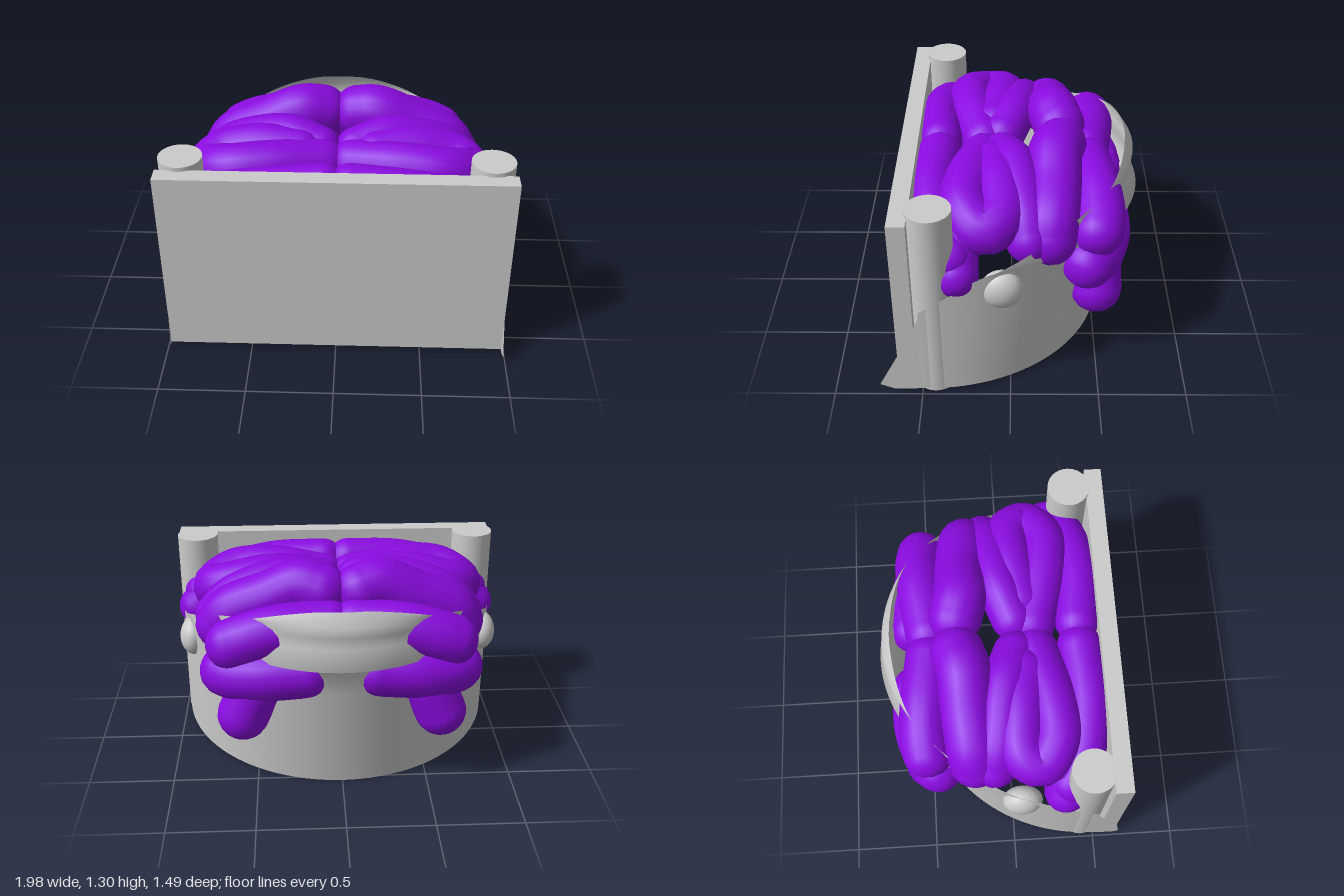
import * as THREE from 'three';
import { mergeVertices } from 'three/addons/utils/BufferGeometryUtils.js';

const grey = new THREE.MeshStandardMaterial({ color: 0xcccccc });
const greyThin = new THREE.MeshStandardMaterial({ color: 0xcccccc, side: THREE.DoubleSide });
const purple = new THREE.MeshStandardMaterial({ color: 0x8a0be0 });

// Piecewise linear lookup in a list of [x, y] pairs
function lerpTable(table, x) {
  for (let i = 1; i < table.length; i++) {
    const [x0, y0] = table[i - 1], [x1, y1] = table[i];
    if (x <= x1) return y0 + (y1 - y0) * Math.max(0, (x - x0) / (x1 - x0));
  }
  return table[table.length - 1][1];
}

function add(parent, geometry, material, name, x = 0, y = 0, z = 0) {
  const mesh = new THREE.Mesh(geometry, material);
  mesh.name = name;
  mesh.position.set(x, y, z);
  parent.add(mesh);
  return mesh;
}

// Fat tube with rounded ends; the path runs between the cap centres
function foldGeometry(path, r, side) {
  const pts = path.map(([x, y, z]) => new THREE.Vector3(x * side, y, z));
  const n = pts.length;
  const tip = (a, b) => a.clone().add(a.clone().sub(b).setLength(r));
  const curve = new THREE.CatmullRomCurve3([tip(pts[0], pts[1]), ...pts, tip(pts[n - 1], pts[n - 2])], false, 'centripetal');
  const length = curve.getLength(), rings = 56, sides = 18;
  const geo = new THREE.TubeGeometry(curve, rings, r, sides);
  const pos = geo.attributes.position, v = new THREE.Vector3();
  for (let i = 0; i <= rings; i++) {
    const c = curve.getPointAt(i / rings);
    const d = Math.min(i, rings - i) / rings * length;
    const k = d < r ? Math.sqrt(Math.max(0, 1 - (1 - d / r) ** 2)) : 1;
    for (let j = 0; j <= sides; j++) {
      const id = i * (sides + 1) + j;
      v.fromBufferAttribute(pos, id).sub(c).multiplyScalar(k).add(c);
      pos.setXYZ(id, v.x, v.y, v.z);
    }
  }
  geo.deleteAttribute('uv');
  geo.deleteAttribute('normal');
  const smooth = mergeVertices(geo, 1e-5);
  smooth.computeVertexNormals();
  return smooth;
}

// Curved wall: half ellipse in plan, sloping rim highest at the back, with a flared collar
function wallGeometry() {
  const around = 72;
  const depth = [[0, 1.04], [0.35, 1.1], [0.81, 1.18], [0.835, 1.245], [0.95, 1.2], [1.08, 1.21], [1.155, 1.16]];
  const rim = [[-0.66, 1.155], [-0.52, 1.08], [-0.35, 1.02], [-0.1, 0.91], [0.2, 0.79], [0.5, 0.6]];
  const heights = [0, 0.18, 0.35, 0.5, 0.65, 0.81, 0.835, 0.95, 1.02, 1.08, 1.155];
  const up = heights.length - 1, pos = [], index = [];
  for (let i = 0; i <= around; i++) {
    const a = Math.PI * i / around, s = Math.sin(a);
    const top = lerpTable(rim, 0.5 - 1.17 * s), base = 0.025 * (1 - s);
    for (let j = 0; j <= up; j++) {
      const y = Math.max(base, Math.min(heights[j], top));
      pos.push(0.98 * Math.cos(a), y, 0.5 - lerpTable(depth, y) * s);
      if (i < around && j < up) {
        const p = i * (up + 1) + j, q = p + up + 1;
        index.push(p, p + 1, q, q, p + 1, q + 1);
      }
    }
  }
  const geo = new THREE.BufferGeometry();
  geo.setAttribute('position', new THREE.Float32BufferAttribute(pos, 3));
  geo.setIndex(index);
  geo.computeVertexNormals();
  return geo;
}

// Small upright fin closing the gap between wall and panel
function finGeometry(reach) {
  const shape = new THREE.Shape();
  [[0.48, 0.03], [0.66, 0.025], [reach, 0.06], [0.63, 0.28], [0.5, 0.56], [0.48, 0.6]]
    .forEach(([z, y], i) => (i ? shape.lineTo(-z, y) : shape.moveTo(-z, y)));
  return new THREE.ShapeGeometry(shape).rotateY(Math.PI / 2);
}

// Name, radius and centre line of each fold on the +x half
const folds = [
  ['frontFold', 0.13, [[0.08, 1.03, 0.42], [0.4, 1.01, 0.44], [0.66, 0.95, 0.4], [0.82, 0.86, 0.33]]],
  ['frontSideLobe', 0.125, [[0.74, 0.9, 0.3], [0.865, 0.78, 0.295]]],
  ['loopFold', 0.14, [[0.09, 1.02, 0.16], [0.4, 1.05, 0.24], [0.62, 1.03, 0.25], [0.74, 0.98, 0.15],
    [0.68, 1.01, 0.06], [0.45, 1.06, 0.06], [0.22, 1.05, 0.1]]],
  ['middleFold', 0.13, [[0.11, 1.05, 0.05], [0.3, 1.09, -0.02], [0.62, 1.0, -0.075], [0.72, 0.9, -0.1]]],
  ['crestFold', 0.155, [[0.11, 1.12, -0.28], [0.22, 1.14, -0.25], [0.42, 1.06, -0.24], [0.63, 0.97, -0.22], [0.685, 0.89, -0.21]]],
  ['backFold', 0.145, [[0.08, 0.98, -0.44], [0.36, 0.97, -0.48], [0.55, 0.92, -0.49], [0.62, 0.89, -0.48]]],
  ['lowerBackFold', 0.15, [[0.2, 0.74, -0.54], [0.44, 0.72, -0.53], [0.61, 0.7, -0.47], [0.66, 0.7, -0.43]]],
  ['hangingLobe', 0.15, [[0.5, 0.6, -0.48], [0.57, 0.445, -0.49]]],
];

export function createModel() {
  const model = new THREE.Group();
  model.name = 'foldedMassInHolder';

  // Flat front panel
  add(model, new THREE.BoxGeometry(1.97, 1.16, 0.1), grey, 'frontPanel', 0, 0.605, 0.58);

  // Wrap-around wall with its raised back collar
  add(model, wallGeometry(), greyThin, 'curvedWall');

  for (const side of [1, -1]) {
    const label = side > 0 ? 'left' : 'right';
    const half = new THREE.Group();
    half.name = label + 'Side';
    model.add(half);

    // Corner post, side knob and fin
    add(half, new THREE.CylinderGeometry(0.123, 0.123, 1.2, 40), grey, label + 'Post', side * 0.86, 0.61, 0.425);
    add(half, new THREE.SphereGeometry(0.117, 24, 16), grey, label + 'Knob', side * 0.885, 0.693, 0.047).scale.x = 0.7;
    add(half, finGeometry(side > 0 ? 0.74 : 0.66), greyThin, label + 'Fin', side * 0.983);

    // Rounded purple folds
    for (const [name, r, path] of folds) add(half, foldGeometry(path, r, side), purple, name);
  }
  return model;
}
